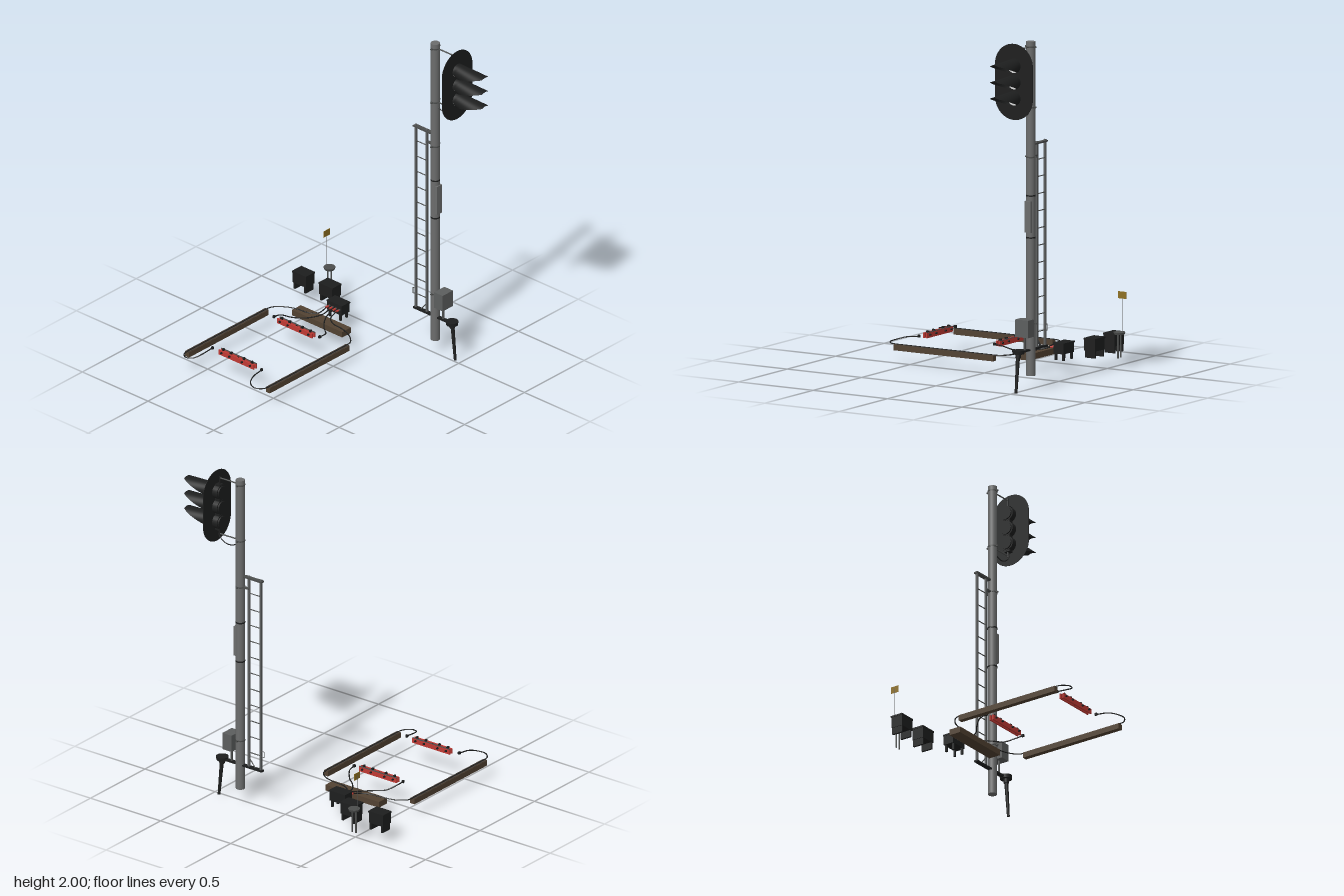
import * as THREE from 'three';

const mat = (name, color, side = THREE.FrontSide) => {
  const m = new THREE.MeshStandardMaterial({ color, side });
  m.name = name;
  return m;
};

export function createModel() {
  const root = new THREE.Group();
  const black = mat('black', 0x1d1e1e, THREE.DoubleSide);
  const steel = mat('steel grey', 0x6c6d6d);
  const mid = mat('case grey', 0x5c5e5e);
  const dark = mat('dark grey', 0x4c4e4d);
  const brown = mat('timber brown', 0x524232);
  const groove = mat('weathered timber', 0x453d35);
  const red = mat('red', 0xc03a34);
  const white = mat('lamp white', 0xdadada);
  const gold = mat('marker yellow', 0x8e7022);
  const V = (x, y, z) => new THREE.Vector3(x, y, z);

  const add = (name, geo, m, parent) => {
    const mesh = new THREE.Mesh(geo, m);
    mesh.name = name;
    parent.add(mesh);
    return mesh;
  };
  const group = (name) => {
    const g = new THREE.Group();
    g.name = name;
    root.add(g);
    return g;
  };
  // Box given by its limits on each axis
  const box = (name, m, x0, x1, y0, y1, z0, z1, parent) => {
    const b = add(name, new THREE.BoxGeometry(x1 - x0, y1 - y0, z1 - z0), m, parent);
    b.position.set((x0 + x1) / 2, (y0 + y1) / 2, (z0 + z1) / 2);
  };
  // Cylinder between two points
  const rod = (name, m, a, b, r, parent, r2 = r, seg = 12) => {
    const d = b.clone().sub(a);
    const c = add(name, new THREE.CylinderGeometry(r2, r, d.length(), seg), m, parent);
    c.position.copy(a).addScaledVector(d, 0.5);
    c.quaternion.setFromUnitVectors(V(0, 1, 0), d.normalize());
  };
  const cable = (name, pts, r, parent) => add(name, new THREE.TubeGeometry(
    new THREE.CatmullRomCurve3(pts.map((p) => V(...p))), 40, r, 6), black, parent);

  // Mast
  const PX = 0.513, PZ = 0.31;
  const mast = group('mast');
  rod('pole', steel, V(PX, 0.08, PZ), V(PX, 1.99, PZ), 0.026, mast, 0.026, 20);
  for (const y of [0.87, 1.11]) rod('poleBand', black, V(PX, y - 0.004, PZ), V(PX, y + 0.004, PZ), 0.028, mast, 0.028, 20);
  box('polePlate', steel, PX - 0.02, PX + 0.02, 0.9, 1.08, PZ + 0.01, 0.343, mast);
  for (const y of [0.38, 1.33, 1.615, 1.96]) {
    rod('poleClamp', dark, V(PX, y - 0.004, PZ), V(PX, y + 0.004, PZ), 0.028, mast, 0.028, 20);
    box('clampEars', dark, PX - 0.037, PX + 0.037, y - 0.004, y + 0.004, PZ - 0.005, PZ + 0.005, mast);
  }

  // Signal head: oval backboard, three lamps with hoods
  const head = group('signalHead');
  const R = 0.127, oval = new THREE.Shape();
  oval.absarc(PX - 0.003, 1.873, R, 0, Math.PI);
  oval.absarc(PX - 0.003, 1.692, R, Math.PI, Math.PI * 2);
  const board = add('backboard', new THREE.ExtrudeGeometry(oval, { depth: 0.002, bevelEnabled: false, curveSegments: 24 }), black, head);
  board.position.z = 0.478;

  // Hood: open arcs that narrow towards the front tip
  const hoodGeometry = () => {
    const rows = 12, cols = 24, pos = [], idx = [];
    for (let i = 0; i <= rows; i++) {
      const t = i / rows, r = 0.042 + 0.02 * t, top = 0.042 - 0.01 * t;
      const cy = top - r, bottom = -0.042 + 0.068 * t;
      const a = Math.acos(THREE.MathUtils.clamp((bottom - cy) / r, -1, 1));
      for (let j = 0; j <= cols; j++) {
        const u = a * (1 - 2 * j / cols);
        pos.push(r * Math.sin(u), cy + r * Math.cos(u), 0.21 * t);
        if (i < rows && j < cols) {
          const k = i * (cols + 1) + j, n = k + cols + 1;
          idx.push(k, n, k + 1, k + 1, n, n + 1);
        }
      }
    }
    const g = new THREE.BufferGeometry();
    g.setAttribute('position', new THREE.Float32BufferAttribute(pos, 3));
    g.setIndex(idx);
    g.computeVertexNormals();
    return g;
  };
  const hood = hoodGeometry();
  for (const y of [1.69, 1.782, 1.875]) {
    add('hood', hood, black, head).position.set(PX, y, 0.48);
    rod('lens', white, V(PX, y, 0.48), V(PX, y, 0.487), 0.041, head, 0.041, 24);
    rod('lampHousing', black, V(PX, y, 0.444), V(PX, y, 0.478), 0.043, head, 0.043, 20);
    rod('lampDoor', black, V(PX, y, 0.436), V(PX, y, 0.444), 0.036, head, 0.036, 20);
  }
  box('housingSpine', black, PX - 0.018, PX + 0.018, 1.64, 1.92, 0.446, 0.478, head);

  // Head brackets and feed cable
  for (const [y, y0, y1] of [[1.96, 1.91, 1.97], [1.615, 1.605, 1.65]]) {
    rod('bracketArm', dark, V(PX, y, PZ), V(PX, y, 0.46), 0.004, head);
    rod('bracketPin', black, V(PX, y0, 0.456), V(PX, y1, 0.456), 0.005, head);
  }
  cable('headCable', [[PX, 1.65, 0.465], [PX, 1.61, 0.465], [PX, 1.575, 0.43], [PX, 1.565, 0.39], [PX, 1.58, 0.335]], 0.003, head);

  // Ladder
  const ladder = group('ladder');
  for (const z of [0.247, 0.163]) box('ladderRail', mid, PX - 0.006, PX + 0.006, 0.225, 1.41, z - 0.006, z + 0.006, ladder);
  for (let i = 0; i < 11; i++) {
    const y = 1.305 - i * 0.0985;
    rod('rung', dark, V(PX, y, 0.163), V(PX, y, 0.247), 0.003, ladder, 0.003, 8);
  }
  box('ladderTop', dark, PX - 0.013, PX + 0.013, 1.395, 1.404, 0.15, 0.28, ladder);
  box('ladderTie', dark, PX - 0.008, PX + 0.008, 1.326, 1.335, 0.245, PZ, ladder);
  box('ladderFoot', black, PX - 0.012, PX + 0.012, 0.224, 0.234, 0.15, 0.46, ladder);
  rod('footBrace', dark, V(PX, 0.29, 0.25), V(PX, 0.23, 0.2), 0.003, ladder, 0.003, 8);
  const latch = [[0.35, 0.16], [0.35, 0.14], [0.315, 0.14], [0.315, 0.16]].map(([y, z]) => V(PX, y, z));
  for (let i = 0; i < 3; i++) rod('ladderLatch', dark, latch[i], latch[i + 1], 0.002, ladder, 0.002, 8);

  // Control box and ground stake in front of the mast
  const control = group('controlBox');
  box('controlCase', mid, 0.47, 0.556, 0.31, 0.41, 0.34, 0.405, control);
  rod('controlPost', dark, V(PX, 0.23, 0.372), V(PX, 0.32, 0.372), 0.007, control);
  rod('stakeCap', black, V(PX, 0.222, 0.438), V(PX, 0.243, 0.438), 0.034, control, 0.036, 16);
  rod('stakeCollar', black, V(PX, 0.2, 0.441), V(PX, 0.224, 0.439), 0.016, control);
  rod('stake', black, V(PX, 0, 0.462), V(PX, 0.225, 0.44), 0.008, control, 0.012);

  // Timber troughs with a cable along the groove
  const timbers = group('timbers');
  for (const z of [-0.585, 0.03]) {
    box('longTimber', brown, -0.58, 0.087, 0.08, 0.112, z - 0.015, z + 0.015, timbers);
    box('timberGroove', groove, -0.58, 0.087, 0.111, 0.114, z - 0.012, z + 0.012, timbers);
    rod('troughCable', black, V(-0.58, 0.114, z), V(0.087, 0.114, z), 0.0035, timbers, 0.0035, 6);
  }
  box('crossTimber', brown, 0.172, 0.245, 0.08, 0.115, -0.47, -0.088, timbers);

  // Ground cables
  const cables = group('groundCables');
  for (const s of [-1, 1]) {
    // mirrored about the middle line of the track
    const run = (pts) => pts.map(([x, y, d]) => [x, y, -0.278 + s * d]);
    cable('endCable', run([[-0.57, 0.114, 0.308], [-0.61, 0.115, 0.3], [-0.64, 0.118, 0.262], [-0.625, 0.125, 0.217], [-0.58, 0.138, 0.194], [-0.5, 0.148, 0.188]]), 0.0035, cables);
    cable('outerCable', run([[0.08, 0.114, 0.308], [0.12, 0.114, 0.3], [0.165, 0.116, 0.25], [0.19, 0.12, 0.18], [0.203, 0.121, 0.09], [0.235, 0.125, 0.045], [0.295, 0.142, 0.038]]), 0.0035, cables);
    cable('innerCable', run([[0, 0.148, 0.174], [0.05, 0.142, 0.168], [0.1, 0.12, 0.13], [0.14, 0.117, 0.08], [0.195, 0.121, 0.035], [0.24, 0.128, 0.014], [0.295, 0.142, 0.013]]), 0.0035, cables);
    for (const [x, d] of [[-0.5, 0.187], [0, 0.174]]) {
      const z = -0.278 + s * d;
      box('cableLug', black, x - 0.006, x + 0.008, 0.142, 0.156, z - 0.006, z + 0.006, cables);
    }
    for (const d of [0.038, 0.013]) {
      const z = -0.279 + s * d;
      rod('plug', red, V(0.287, 0.141, z), V(0.308, 0.141, z), 0.006, cables);
      rod('socket', dark, V(0.306, 0.141, z), V(0.318, 0.141, z), 0.006, cables);
    }
  }

  // Red clamp bars
  for (const x of [-0.492, -0.004]) {
    const bars = group('clampBars');
    for (const o of [-0.0095, 0.0095]) box('redBar', red, x + o - 0.004, x + o + 0.004, 0.13, 0.16, -0.412, -0.145, bars);
    box('barCap', dark, x + 0.0055, x + 0.0135, 0.159, 0.162, -0.412, -0.145, bars);
    for (const z of [-0.388, -0.328, -0.232, -0.17]) {
      rod('clampBolt', black, V(x - 0.022, 0.148, z), V(x + 0.022, 0.148, z), 0.006, bars, 0.006, 8);
      box('clampBlock', black, x - 0.008, x + 0.008, 0.138, 0.17, z - 0.005, z + 0.005, bars);
    }
    box('barSpacer', black, x - 0.008, x + 0.008, 0.138, 0.158, -0.283, -0.275, bars);
  }

  // Junction box on four legs
  const junction = group('junctionBox');
  box('junctionCase', black, 0.318, 0.384, 0.108, 0.166, -0.335, -0.225, junction);
  box('junctionLid', black, 0.315, 0.387, 0.163, 0.171, -0.338, -0.222, junction);
  for (const x of [0.325, 0.376]) for (const z of [-0.32, -0.24])
    box('junctionLeg', black, x - 0.006, x + 0.006, 0.07, 0.112, z - 0.006, z + 0.006, junction);

  // Equipment cases standing on side panels
  for (const z of [-0.639, -0.438]) {
    const unit = group('equipmentCase');
    box('caseBody', black, 0.418, 0.49, 0.11, 0.176, z - 0.05, z + 0.05, unit);
    box('caseLid', black, 0.415, 0.493, 0.173, 0.183, z - 0.053, z + 0.053, unit);
    for (const s of [-1, 1]) box('casePanel', black, 0.42, 0.488, 0.07, 0.112, z + s * 0.04 - 0.006, z + s * 0.04 + 0.006, unit);
  }

  // Marker post with a small flag plate
  const marker = group('markerPost');
  rod('markerCap', dark, V(0.558, 0.195, -0.536), V(0.558, 0.208, -0.536), 0.03, marker, 0.034, 20);
  for (const z of [-0.522, -0.55]) rod('markerLeg', dark, V(0.558, 0.06, z), V(0.558, 0.197, z), 0.005, marker);
  rod('flagRod', steel, V(0.56, 0.2, -0.562), V(0.56, 0.42, -0.562), 0.0015, marker, 0.0015, 8);
  box('flagPlate', gold, 0.535, 0.588, 0.396, 0.436, -0.561, -0.559, marker);

  return root;
}
